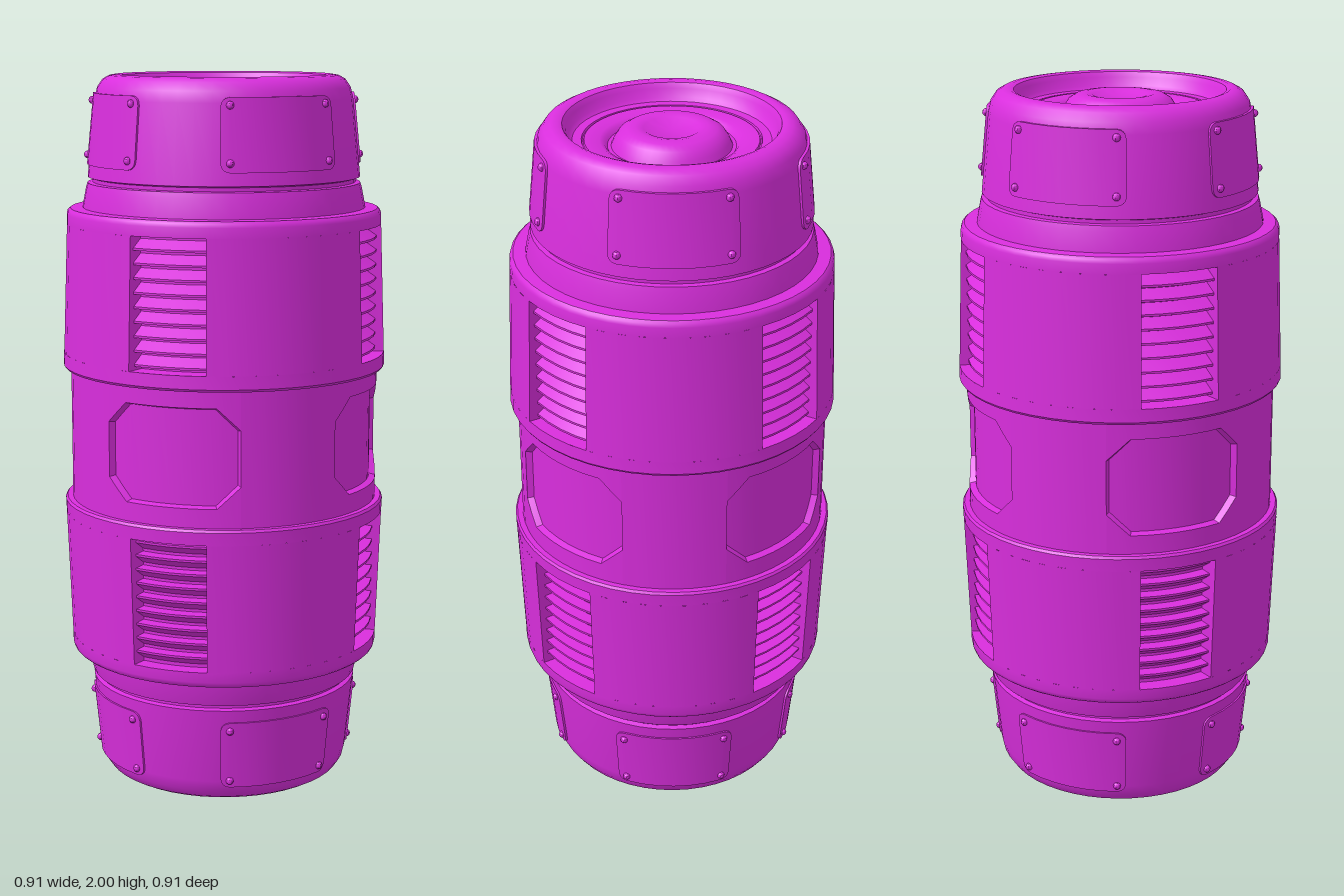
import * as THREE from 'three';
import { toCreasedNormals } from 'three/addons/utils/BufferGeometryUtils.js';

const DEG = Math.PI / 180;
const material = new THREE.MeshStandardMaterial({ color: 0xd92edd, side: THREE.DoubleSide });

function addMesh(parent, name, geometry, crease = 0.6) {
  const mesh = new THREE.Mesh(toCreasedNormals(geometry, crease), material);
  mesh.name = name;
  parent.add(mesh);
  return mesh;
}

// Turned surface over an angular range; 0 degrees is the front
function turned(profile, segments = 48, start = 0, length = 360) {
  const points = profile.map(([r, y]) => new THREE.Vector2(r, y));
  return new THREE.LatheGeometry(points, segments, start * DEG, length * DEG);
}

// Point on a round wall: angle in degrees, radius, height
const polar = (angle, r, y) => [r * Math.sin(angle * DEG), y, r * Math.cos(angle * DEG)];

// Surface from cross-sections: rows of points, each row of the same length
function loft(rows) {
  const n = rows[0].length;
  const index = [];
  for (let i = 0; i < rows.length - 1; i++) {
    for (let j = 0; j < n - 1; j++) {
      const a = i * n + j, b = a + n;
      index.push(a, b, a + 1, b, b + 1, a + 1);
    }
  }
  const geometry = new THREE.BufferGeometry();
  geometry.setAttribute('position', new THREE.Float32BufferAttribute(rows.flat(2), 3));
  geometry.setIndex(index);
  geometry.computeVertexNormals();
  return geometry;
}

// Angles and half heights across a panel whose corners are cut back
function panelColumns(halfAngle, corner, halfHeight, cut, round) {
  const angles = [];
  const steps = round ? [0, 0.1, 0.3, 0.6, 1] : [0, 0.5, 1];
  steps.forEach((t) => angles.push(-halfAngle + corner * t));
  for (let i = 1; i < 6; i++) angles.push((-1 + i / 3) * (halfAngle - corner));
  steps.slice().reverse().forEach((t) => angles.push(halfAngle - corner * t));
  return angles.map((angle) => {
    const t = Math.max(0, (Math.abs(angle) - halfAngle + corner) / corner);
    const drop = round ? 1 - Math.sqrt(Math.max(0, 1 - t * t)) : t;
    return { angle, h: halfHeight - cut * drop };
  });
}

// Closed outline of a panel, anticlockwise seen from outside
const outline = (columns) => {
  const pts = [...columns.map((c) => [c.angle, -c.h]), ...columns.slice().reverse().map((c) => [c.angle, c.h])];
  return [...pts, pts[0]];
};

// Riveted plate lying on the tapered cap
function addPlate(parent, centre) {
  const wall = (y) => 0.38 - (y - 0.72) * 0.1;
  const yMid = 0.8525;
  const columns = panelColumns(26.5, 4, 0.0975, 0.025, true);
  const at = (angle, dy, lift) => polar(centre + angle, wall(yMid + dy) + lift, yMid + dy);
  addMesh(parent, 'capPlate', loft(columns.map((c) => [at(c.angle, -c.h, 0.005), at(c.angle, c.h, 0.005)])));
  addMesh(parent, 'capPlateRim', loft(outline(columns).map(([a, y]) => [at(a, y, -0.004), at(a, y, 0.005)])));
  for (const da of [-22.5, 22.5]) {
    for (const dy of [-0.073, 0.077]) {
      const rivet = addMesh(parent, 'rivet', new THREE.SphereGeometry(0.011, 10, 6), 1.2);
      rivet.position.set(...at(da, dy, 0.005));
    }
  }
}

// Slatted vent set into the band
const VENT = 14;
function addVent(parent, centre) {
  const y0 = 0.23, y1 = 0.59, slats = 9, inner = 0.395;
  const pitch = (y1 - y0 - 0.01) / slats;
  const profile = [[0.4535, y0], [inner, y0]];
  for (let i = 0; i < slats; i++) {
    const y = y0 + i * pitch;
    profile.push([inner, y + 0.008], [0.428, y + 0.01], [0.428, y + 0.016], [inner, y + pitch]);
  }
  profile.push([inner, y1], [0.4405, y1]);
  addMesh(parent, 'ventSlats', turned(profile, 4, centre - VENT, VENT * 2), 0.4);
  for (const side of [-1, 1]) {
    const a = centre + side * VENT;
    const low = [polar(a, inner - 0.005, y0), polar(a, 0.4535, y0)];
    const high = [polar(a, inner - 0.005, y1), polar(a, 0.4405, y1)];
    addMesh(parent, 'ventSide', loft(side > 0 ? [low, high] : [high, low]));
  }
}

// One end of the canister, from the waist upwards
function createHalf(name) {
  const half = new THREE.Group();
  half.name = name;

  // Collar, groove, tapered cap and stepped end face
  addMesh(half, 'endCap', turned([
    [0.397, 0.62], [0.395, 0.64], [0.385, 0.69], [0.381, 0.704], [0.367, 0.706], [0.367, 0.716], [0.38, 0.72],
    [0.358, 0.935], [0.351, 0.965], [0.336, 0.987], [0.318, 0.997], [0.3, 1],
    [0.288, 0.996], [0.279, 0.982], [0.272, 0.96], [0.262, 0.951], [0.238, 0.95],
    [0.236, 0.944], [0.233, 0.944], [0.231, 0.95], [0.19, 0.948], [0.178, 0.942], [0.17, 0.932], [0.16, 0.932],
    [0.153, 0.948], [0.14, 0.968], [0.12, 0.98], [0.095, 0.984], [0.075, 0.98], [0.065, 0.974], [0, 0.972],
  ]));

  // Band edges above and below the vents
  addMesh(half, 'bandLowerEdge', turned([[0.41, 0.187], [0.45, 0.187], [0.455, 0.194], [0.4535, 0.23]]));
  addMesh(half, 'bandUpperEdge', turned([[0.4405, 0.59], [0.44, 0.618], [0.437, 0.628], [0.43, 0.634], [0.385, 0.636]]));

  for (let k = 0; k < 4; k++) {
    const centre = k * 90;
    addMesh(half, 'band', turned([[0.4535, 0.23], [0.4405, 0.59]], 9, centre + VENT, 90 - 2 * VENT));
    addVent(half, centre);
    addPlate(half, centre + 45);
  }
  return half;
}

// Waist with four sunken eight-sided windows
function createWaist() {
  const waist = new THREE.Group();
  waist.name = 'waist';
  const r = 0.434, floor = 0.416, top = 0.19, reach = 26;
  const columns = panelColumns(reach, 8.5, 0.137, 0.06, false);
  const yMid = 0.003;
  for (let k = 0; k < 4; k++) {
    const centre = k * 90;
    addMesh(waist, 'waistWall', turned([[r, -top], [r, top]], 6, centre + reach, 90 - 2 * reach));
    addMesh(waist, 'windowHead', loft(columns.map((c) => [
      polar(centre + c.angle, r, yMid + c.h), polar(centre + c.angle, r, top)])));
    addMesh(waist, 'windowFoot', loft(columns.map((c) => [
      polar(centre + c.angle, r, -top), polar(centre + c.angle, r, yMid - c.h)])));
    addMesh(waist, 'windowRim', loft(outline(columns).map(([a, y]) => [
      polar(centre + a, r, yMid + y), polar(centre + a * 0.97, floor, yMid + y * 0.96)])));
    addMesh(waist, 'windowPane', loft(columns.map((c) => [
      polar(centre + c.angle * 0.97, floor, yMid - c.h * 0.96),
      polar(centre + c.angle * 0.97, floor, yMid + c.h * 0.96)])));
  }
  return waist;
}

export function createModel() {
  const model = new THREE.Group();
  model.name = 'canister';
  const upper = createHalf('upperHalf');
  const lower = createHalf('lowerHalf');
  lower.rotation.x = Math.PI;
  const waist = createWaist();
  for (const part of [upper, lower, waist]) {
    part.position.y = 1;
    model.add(part);
  }
  return model;
}
